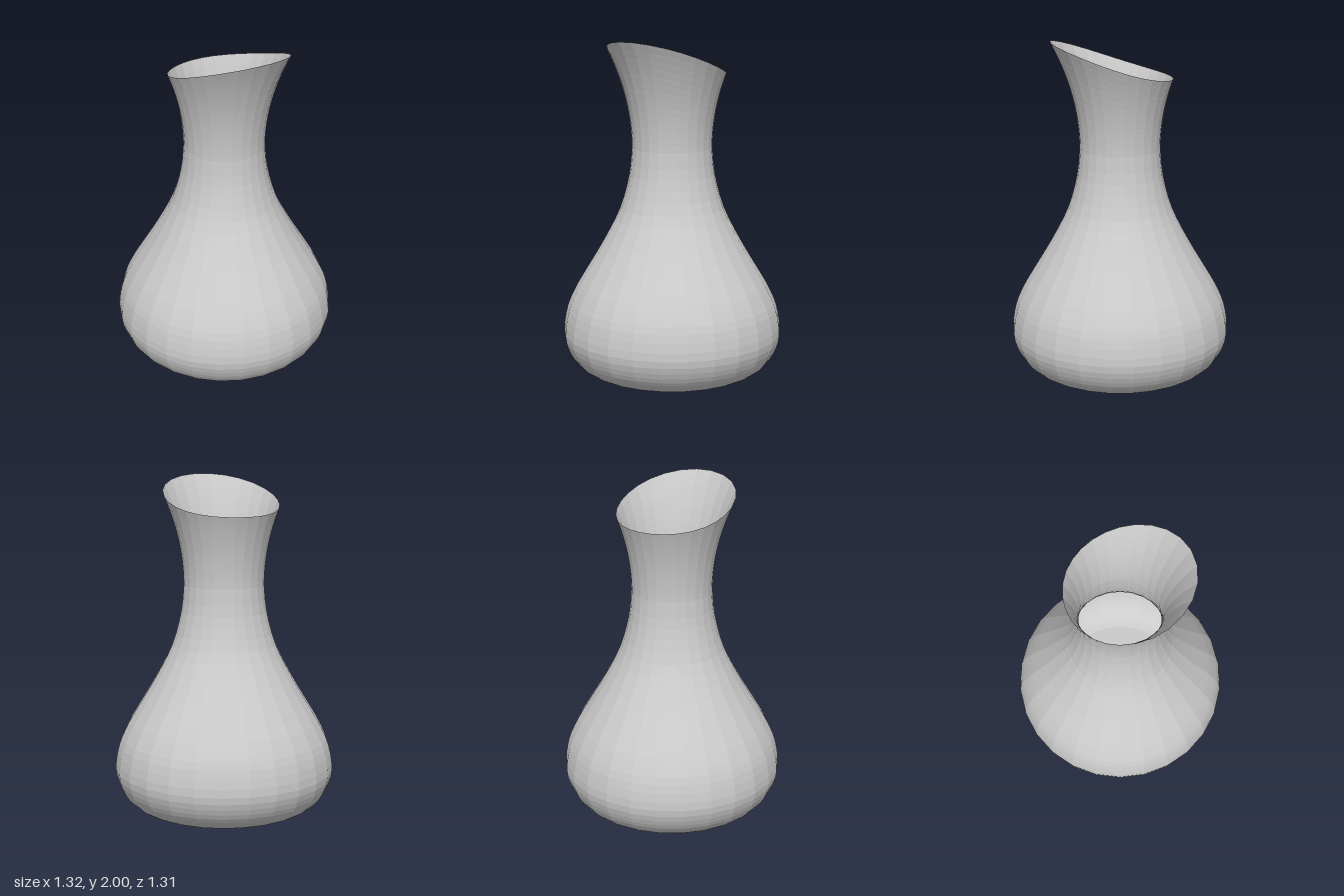
import * as THREE from 'three';

const SEGMENTS = 26;
const NECK_Y = 1.36; // narrowest point
const NECK_R = 0.24;

// Flare of the neck above its narrowest point
const flareRadius = (y) => NECK_R + 0.415 * (y - NECK_Y) ** 2;

// Slanted, slightly curved rim: high at the front spout, low at the back
const rimHeight = (c) => 1.855 + 0.11 * c + 0.035 * c * c;

export function createModel() {
  const group = new THREE.Group();
  group.name = 'carafe';
  const material = new THREE.MeshStandardMaterial({
    color: 0xcccccc, flatShading: true, side: THREE.DoubleSide,
  });

  // Belly profile from the foot to the narrow neck
  const belly = new THREE.SplineCurve([
    [0.46, 0], [0.515, 0.015], [0.575, 0.055], [0.63, 0.13], [0.66, 0.24],
    [0.637, 0.39], [0.585, 0.51], [0.53, 0.605], [0.413, 0.8], [0.312, 1.0],
    [0.257, 1.2], [NECK_R, NECK_Y],
  ].map(([r, y]) => new THREE.Vector2(r, y)));
  const profile = belly.getPoints(33);

  // Flared neck, first built straight up to y = 2
  const rows = 14;
  for (let i = 1; i <= rows; i++) {
    const y = NECK_Y + (2 - NECK_Y) * i / rows;
    profile.push(new THREE.Vector2(flareRadius(y), y));
  }

  // Squeeze the neck rows so that the last one follows the slanted rim
  const wall = new THREE.LatheGeometry(profile, SEGMENTS, Math.PI / 2);
  const pos = wall.attributes.position;
  for (let i = 0; i < pos.count; i++) {
    const y = pos.getY(i);
    if (y <= NECK_Y) continue;
    const angle = Math.atan2(pos.getX(i), pos.getZ(i));
    const t = (y - NECK_Y) / (2 - NECK_Y);
    const newY = NECK_Y + t * (rimHeight(Math.cos(angle)) - NECK_Y);
    const r = flareRadius(newY);
    pos.setXYZ(i, r * Math.sin(angle), newY, r * Math.cos(angle));
  }
  wall.computeVertexNormals();
  const body = new THREE.Mesh(wall, material);
  body.name = 'body';
  group.add(body);

  // Flat floor
  const floor = new THREE.Mesh(new THREE.CircleGeometry(0.46, SEGMENTS), material);
  floor.name = 'floor';
  floor.rotation.x = Math.PI / 2;
  group.add(floor);

  // Centre the foot-print on the origin
  const box = new THREE.Box3().setFromObject(group);
  const centre = box.getCenter(new THREE.Vector3());
  group.children.forEach((m) => { m.position.x -= centre.x; m.position.z -= centre.z; });
  return group;
}
